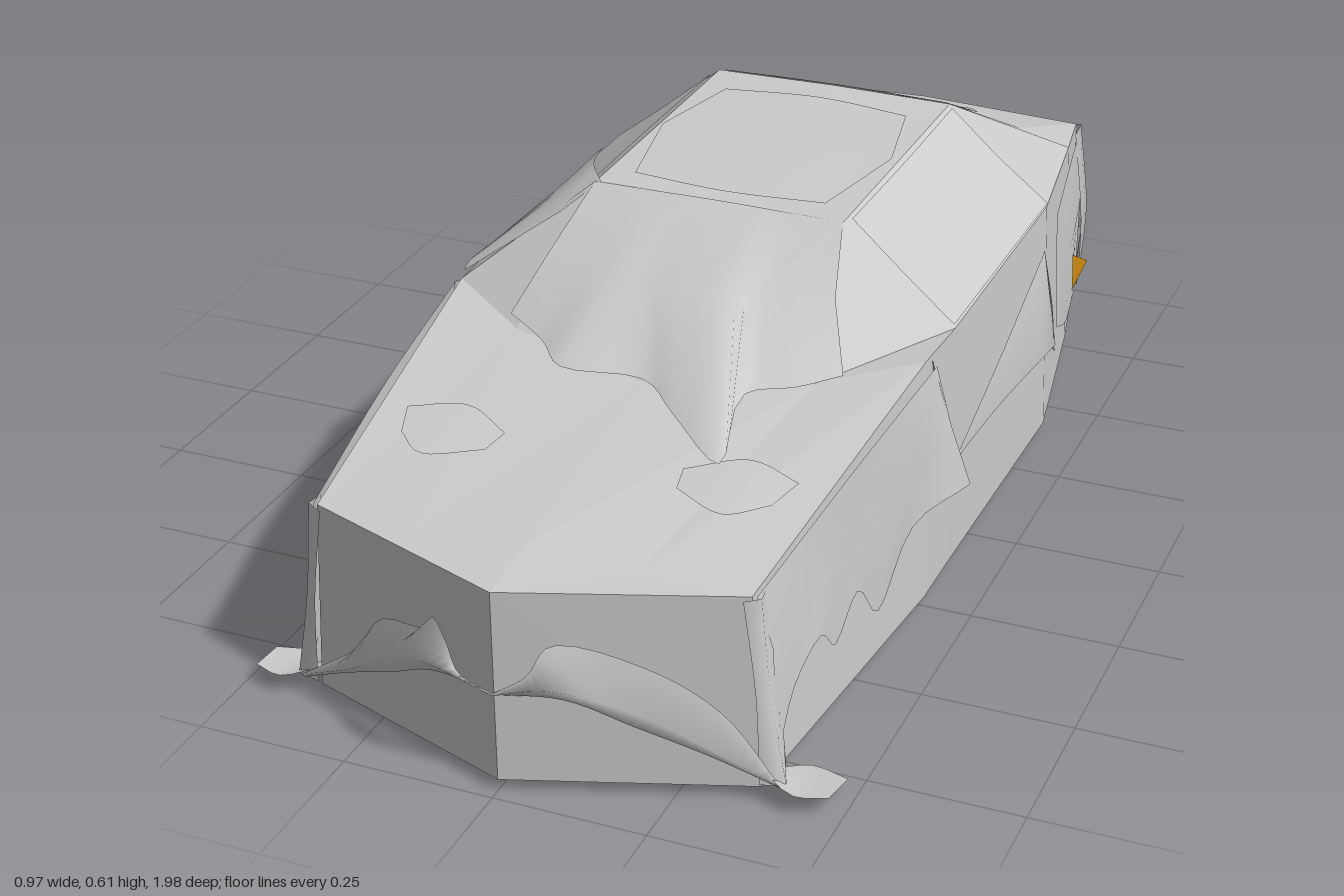
import * as THREE from 'three';

const grey = new THREE.MeshStandardMaterial({ color: 0xcccccc, side: THREE.DoubleSide });
const flatGrey = new THREE.MeshStandardMaterial({ color: 0xcccccc, flatShading: true });
const orange = new THREE.MeshStandardMaterial({ color: 0xd08a10, side: THREE.DoubleSide });
const black = new THREE.MeshStandardMaterial({ color: 0x111111, side: THREE.DoubleSide });

// Joins rows of equal length into a surface
function surface(rows) {
  const n = rows[0].length, index = [];
  for (let r = 0; r < rows.length - 1; r++) {
    for (let c = 0; c < n - 1; c++) {
      const a = r * n + c, d = a + n;
      index.push(a, d, a + 1, a + 1, d, d + 1);
    }
  }
  const g = new THREE.BufferGeometry();
  g.setAttribute('position', new THREE.Float32BufferAttribute(rows.flat(2), 3));
  g.setIndex(index);
  g.computeVertexNormals();
  return g;
}

// Smooth sheet: each row is a curve, resampled so rows may have different counts
function sheet(rows, steps = 16) {
  return surface(rows.map((row) => {
    const pts = row.map((p) => new THREE.Vector3(...p));
    const curve = new THREE.CatmullRomCurve3(pts, false, 'centripetal');
    return Array.from({ length: steps + 1 }, (_, i) => curve.getPoint(i / steps).toArray());
  }));
}

const flip = (rows) => rows.map((row) => row.map(([x, y, z]) => [-x, y, z]).reverse());

export function createModel() {
  const model = new THREE.Group();
  const add = (name, geometry, material = grey) => {
    const mesh = new THREE.Mesh(geometry, material);
    mesh.name = name;
    model.add(mesh);
    return mesh;
  };
  const pair = (name, rows, steps) => {
    add(name + 'Left', sheet(rows, steps));
    add(name + 'Right', sheet(flip(rows), steps));
  };

  // Body shell: half sections from nose to tail (sill, belt, upper edge, centre)
  const half = [
    [[0, 0.02, 0.98], [0, 0.345, 0.98], [0, 0.345, 0.98], [0, 0.345, 0.98]],
    [[0.37, 0.02, 0.85], [0.355, 0.345, 0.85], [0.18, 0.35, 0.86], [0, 0.36, 0.86]],
    [[0.42, 0.02, 0.25], [0.41, 0.45, 0.25], [0.26, 0.43, 0.35], [0, 0.42, 0.43]],
    [[0.42, 0.02, 0.12], [0.415, 0.45, 0.12], [0.22, 0.605, 0.12], [0, 0.607, 0.12]],
    [[0.425, 0.02, -0.4], [0.412, 0.45, -0.4], [0.22, 0.607, -0.42], [0, 0.61, -0.42]],
    [[0.362, 0.02, -0.75], [0.35, 0.415, -0.75], [0.25, 0.435, -0.76], [0, 0.44, -0.79]],
    [[0.32, 0.02, -0.94], [0.315, 0.39, -0.925], [0.2, 0.392, -0.93], [0, 0.395, -0.94]],
    [[0, 0.02, -0.965], [0, 0.395, -0.94], [0, 0.395, -0.94], [0, 0.395, -0.94]],
  ];
  const rings = half.map((s) => {
    const floor = [0, 0.02, s[0][2]];
    const other = s.slice(0, 3).reverse().map(([x, y, z]) => [-x, y, z]);
    return [floor, ...s, ...other, floor];
  });
  add('bodyShell', surface(rings), flatGrey);

  // Crumpled front wing, flaring out at its rear edge
  pair('frontWing', [
    [[0.362, 0.345, 0.85], [0.396, 0.4, 0.55], [0.425, 0.44, 0.24]],
    [[0.38, 0.25, 0.83], [0.405, 0.29, 0.5], [0.445, 0.33, 0.22]],
    [[0.39, 0.05, 0.84], [0.39, 0.15, 0.77], [0.398, 0.19, 0.68], [0.4, 0.14, 0.62], [0.405, 0.19, 0.54],
      [0.412, 0.11, 0.46], [0.425, 0.2, 0.34], [0.472, 0.21, 0.19]],
  ], 28);
  pair('wingFlap', [
    [[0.425, 0.44, 0.25], [0.445, 0.33, 0.22], [0.472, 0.21, 0.19]],
    [[0.41, 0.44, 0.22], [0.415, 0.3, 0.21], [0.415, 0.2, 0.22]],
  ], 8);

  // Bent door skin lifting away toward the rear
  pair('doorSkin', [
    [[0.421, 0.21, 0.1], [0.422, 0.29, -0.13], [0.422, 0.38, -0.365]],
    [[0.421, 0.205, 0.1], [0.432, 0.205, -0.13], [0.45, 0.2, -0.365]],
    [[0.42, 0.2, 0.1], [0.42, 0.2, -0.13], [0.42, 0.18, -0.41]],
  ], 8);
  pair('doorEdge', [
    [[0.422, 0.38, -0.365], [0.442, 0.28, -0.36], [0.45, 0.19, -0.36]],
    [[0.416, 0.37, -0.38], [0.418, 0.28, -0.4], [0.42, 0.18, -0.41]],
  ], 6);

  // Rear wing skin
  pair('rearWing', [
    [[0.398, 0.38, -0.52], [0.368, 0.4, -0.7], [0.325, 0.375, -0.91]],
    [[0.408, 0.25, -0.5], [0.38, 0.25, -0.7], [0.335, 0.24, -0.91]],
    [[0.405, 0.15, -0.53], [0.376, 0.08, -0.7], [0.357, 0.07, -0.8], [0.33, 0.04, -0.92]],
  ]);

  // Front bumper skin, draped differently on each side
  add('frontBumperLeft', sheet([
    [[0, 0.175, 0.985], [0.05, 0.21, 0.975], [0.085, 0.262, 0.96], [0.22, 0.225, 0.912], [0.32, 0.15, 0.875], [0.4, 0.035, 0.855]],
    [[0, 0.172, 0.987], [0.09, 0.2, 0.985], [0.2, 0.16, 0.935], [0.3, 0.1, 0.895], [0.4, 0.035, 0.86]],
    [[0, 0.17, 0.98], [0.1, 0.17, 0.955], [0.2, 0.125, 0.92], [0.3, 0.075, 0.88], [0.4, 0.025, 0.85]],
  ], 24));
  add('frontBumperRight', sheet([
    [[-0.39, 0.04, 0.855], [-0.28, 0.13, 0.89], [-0.22, 0.21, 0.912], [-0.13, 0.235, 0.945],
      [-0.11, 0.262, 0.952], [-0.08, 0.235, 0.97], [-0.06, 0.19, 0.975], [0, 0.175, 0.985]],
    [[-0.4, 0.035, 0.86], [-0.28, 0.1, 0.9], [-0.2, 0.16, 0.93], [-0.1, 0.2, 0.985], [0, 0.172, 0.987]],
    [[-0.4, 0.025, 0.85], [-0.3, 0.075, 0.88], [-0.2, 0.125, 0.92], [-0.11, 0.17, 0.955], [0, 0.17, 0.98]],
  ], 24));

  // Rear bumper skin with hanging folds
  pair('rearBumper', [
    [[0, 0.29, -0.95], [0.08, 0.32, -0.95], [0.18, 0.29, -0.946], [0.32, 0.31, -0.935]],
    [[0, 0.2, -0.965], [0.04, 0.2, -0.965], [0.07, 0.17, -0.995], [0.1, 0.2, -0.965],
      [0.16, 0.18, -0.965], [0.19, 0.16, -0.975], [0.22, 0.2, -0.958], [0.33, 0.17, -0.95]],
    [[0, 0.18, -0.956], [0.04, 0.17, -0.955], [0.07, 0.11, -0.965], [0.1, 0.17, -0.955],
      [0.16, 0.16, -0.955], [0.19, 0.11, -0.955], [0.22, 0.17, -0.95], [0.325, 0.08, -0.94]],
  ], 32);

  // Folded strips at the four corners
  pair('frontCorner', [
    [[0.345, 0.34, 0.86], [0.365, 0.18, 0.86], [0.37, 0.03, 0.86]],
    [[0.37, 0.345, 0.85], [0.385, 0.18, 0.85], [0.41, 0.03, 0.85]],
    [[0.365, 0.345, 0.82], [0.38, 0.2, 0.81], [0.39, 0.03, 0.8]],
  ], 8);
  pair('rearCorner', [
    [[0.29, 0.385, -0.932], [0.3, 0.2, -0.945], [0.29, 0.06, -0.95]],
    [[0.325, 0.39, -0.925], [0.338, 0.2, -0.95], [0.328, 0.04, -0.945]],
    [[0.335, 0.4, -0.85], [0.352, 0.22, -0.86], [0.345, 0.05, -0.88]],
  ], 8);
  pair('cornerFlap', [
    [[0.37, 0.05, 0.85], [0.43, 0.035, 0.875], [0.48, 0.035, 0.86]],
    [[0.38, 0.025, 0.8], [0.42, 0.02, 0.77], [0.485, 0.025, 0.79]],
  ], 6);

  // Torn windscreen, its lower edge lying on the bonnet
  add('windscreen', sheet([
    [[-0.22, 0.605, 0.122], [0, 0.608, 0.122], [0.22, 0.605, 0.122]],
    [[-0.25, 0.525, 0.235], [0, 0.515, 0.285], [0.25, 0.525, 0.235]],
    [[-0.28, 0.445, 0.33], [-0.2, 0.434, 0.38], [-0.14, 0.426, 0.44], [0, 0.426, 0.43], [0.08, 0.416, 0.5],
      [0.2, 0.401, 0.6], [0.17, 0.428, 0.42], [0.24, 0.434, 0.38], [0.3, 0.442, 0.33]],
  ], 32));

  // Roof, rear glass, bonnet and side window skins lying on the shell
  add('roofPanel', sheet([
    [[-0.17, 0.609, 0.07], [0, 0.611, 0.09], [0.17, 0.609, 0.07]],
    [[-0.21, 0.611, -0.14], [0, 0.613, -0.14], [0.21, 0.611, -0.14]],
    [[-0.17, 0.611, -0.33], [0, 0.613, -0.35], [0.17, 0.611, -0.33]],
  ]));
  add('rearWindow', sheet([
    [[-0.21, 0.607, -0.425], [0, 0.61, -0.425], [0.21, 0.607, -0.425]],
    [[-0.23, 0.527, -0.59], [0, 0.532, -0.605], [0.22, 0.527, -0.59]],
    [[-0.24, 0.45, -0.735], [0, 0.475, -0.72], [0.2, 0.52, -0.62]],
  ]));
  add('rearWindowPatch', sheet([
    [[-0.14, 0.59, -0.47], [0, 0.592, -0.468], [0.1, 0.59, -0.47]],
    [[-0.14, 0.56, -0.53], [0, 0.558, -0.54], [0.1, 0.56, -0.53]],
  ], 8));
  pair('bonnetDent', [
    [[0.15, 0.394, 0.62], [0.24, 0.402, 0.57], [0.33, 0.396, 0.6]],
    [[0.16, 0.388, 0.67], [0.25, 0.384, 0.71], [0.31, 0.385, 0.66]],
  ], 10);
  pair('sideWindow', [
    [[0.228, 0.604, 0.1], [0.23, 0.604, -0.15], [0.228, 0.604, -0.41]],
    [[0.322, 0.527, 0.11], [0.322, 0.527, -0.15], [0.322, 0.527, -0.4]],
    [[0.413, 0.456, 0.12], [0.413, 0.456, -0.15], [0.413, 0.456, -0.4]],
  ], 8);

  // Lifted pillar trim, on the right only
  add('pillarTrim', sheet([
    [[-0.21, 0.607, 0.12], [-0.25, 0.608, 0.06], [-0.27, 0.604, -0.02]],
    [[-0.26, 0.565, 0.17], [-0.29, 0.565, 0.11], [-0.305, 0.565, 0.04]],
    [[-0.41, 0.46, 0.24], [-0.42, 0.46, 0.2], [-0.42, 0.455, 0.15]],
  ], 8));

  // Side marker, on the left only
  add('sideMarker', surface([
    [[0.385, 0.15, -0.7], [0.385, 0.225, -0.69]],
    [[0.398, 0.19, -0.75], [0.398, 0.19, -0.75]],
  ]), orange);

  // Remains of the wheels under the floor
  for (const x of [-0.28, 0.28]) {
    for (const z of [0.57, -0.51]) {
      const pad = add('wheelRemnant', new THREE.BoxGeometry(0.11, 0.004, 0.04), black);
      const tilted = x < 0 && z > 0;
      pad.position.set(x, tilted ? 0.011 : 0.016, z);
      pad.rotation.z = tilted ? -0.16 : 0;
    }
  }
  return model;
}
